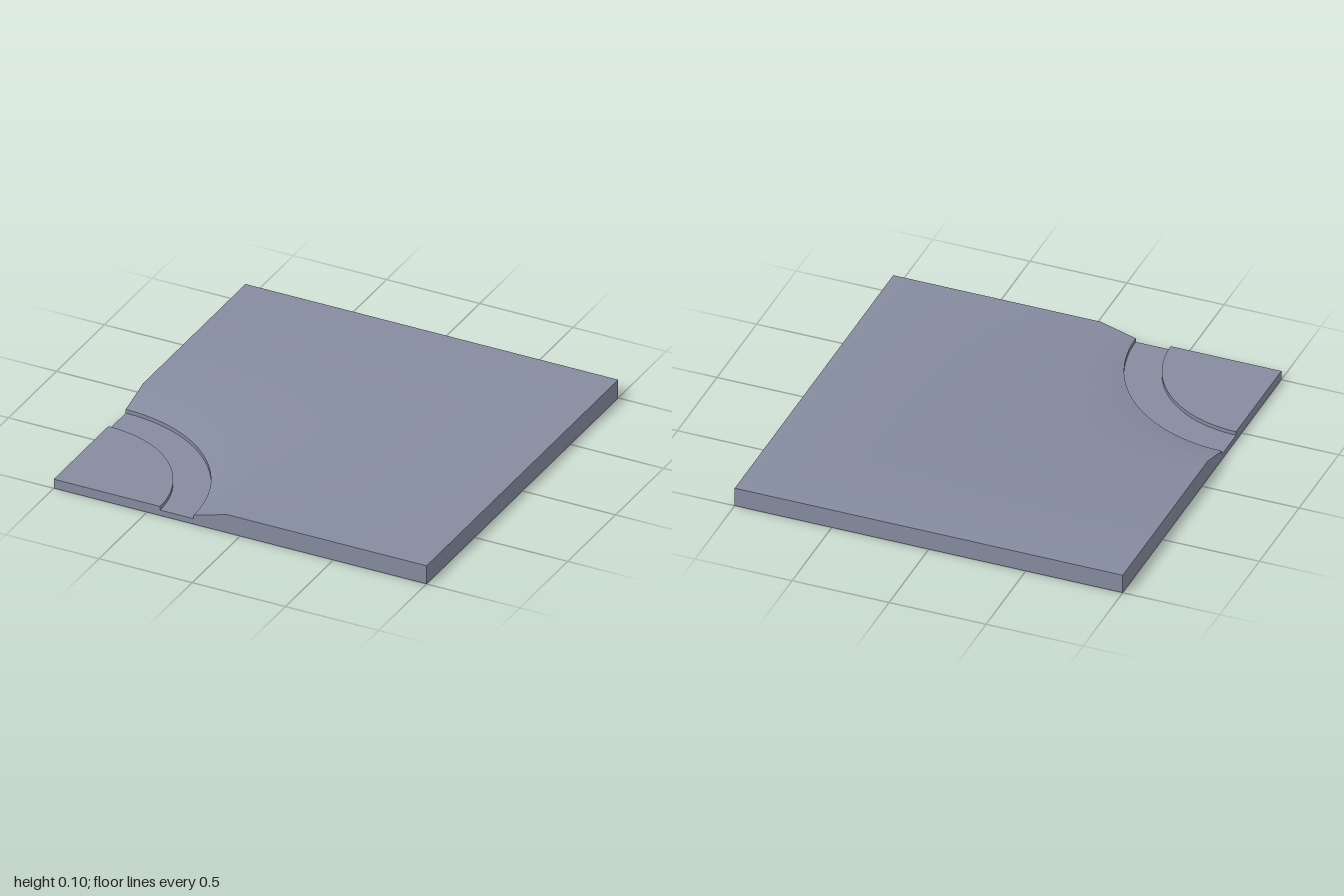
import * as THREE from 'three';

const STEPS = 64; // segments across the quarter turn
const H = 0.1, DISC_R = 0.57, GROOVE_R = 0.75, SLOPE_R = 0.93;
const DISC_Y = 0.05, GROOVE_Y = 0.03;

// Quarter-turn strip around the corner (-1, +1). Each end is [radius, height, normalOut, normalUp];
// a radius of null runs out to the edge of the square.
function quarterStrip(inner, outer) {
  const pos = [], nor = [], idx = [];
  for (let i = 0; i <= STEPS; i++) {
    const a = (i / STEPS) * Math.PI / 2, c = Math.cos(a), s = Math.sin(a);
    for (const [radius, y, out, up] of [inner, outer]) {
      const r = radius ?? 2 / Math.max(c, s);
      pos.push(-1 + r * c, y, 1 - r * s);
      nor.push(out * c, up, -out * s);
    }
    if (i < STEPS) {
      const k = i * 2;
      idx.push(k, k + 1, k + 3, k, k + 3, k + 2);
    }
  }
  const g = new THREE.BufferGeometry();
  g.setAttribute('position', new THREE.Float32BufferAttribute(pos, 3));
  g.setAttribute('normal', new THREE.Float32BufferAttribute(nor, 3));
  g.setIndex(idx);
  return g;
}

// Cut face of the slab, running away from the recessed corner
function sectionFace(dir) {
  const pts = [[0, 0], [2, 0], [2, H], [SLOPE_R, H], [GROOVE_R, DISC_Y], [GROOVE_R, GROOVE_Y],
    [DISC_R, GROOVE_Y], [DISC_R, DISC_Y], [0, DISC_Y]];
  return new THREE.ShapeGeometry(new THREE.Shape(pts.map(([u, y]) => new THREE.Vector2(u * dir, y))));
}

export function createModel() {
  const group = new THREE.Group();
  const slate = new THREE.MeshStandardMaterial({ color: 0x858b9f });
  slate.name = 'slate grey';
  const add = (name, geometry) => {
    const mesh = new THREE.Mesh(geometry, slate);
    mesh.name = name;
    group.add(mesh);
    return mesh;
  };

  // Recessed corner: raised quarter disc and the groove around it
  add('cornerDisc', quarterStrip([0, DISC_Y, 0, 1], [DISC_R, DISC_Y, 0, 1]));
  add('discRim', quarterStrip([DISC_R, DISC_Y, 1, 0], [DISC_R, GROOVE_Y, 1, 0]));
  add('grooveFloor', quarterStrip([DISC_R, GROOVE_Y, 0, 1], [GROOVE_R, GROOVE_Y, 0, 1]));
  add('grooveWall', quarterStrip([GROOVE_R, GROOVE_Y, -1, 0], [GROOVE_R, DISC_Y, -1, 0]));

  // Slope blending softly into the flat top
  const tilt = Math.atan2(H - DISC_Y, SLOPE_R - GROOVE_R);
  const lean = (t) => [-Math.sin(t), Math.cos(t)];
  add('slope', quarterStrip([GROOVE_R, DISC_Y, ...lean(tilt)], [SLOPE_R, H, ...lean(tilt / 2)]));
  add('slabTop', quarterStrip([SLOPE_R, H, ...lean(tilt / 2)], [null, H, 0, 1]));

  // Stepped sides next to the recessed corner
  add('frontSide', sectionFace(1)).position.set(-1, 0, 1);
  const left = add('steppedSide', sectionFace(-1));
  left.position.set(-1, 0, 1);
  left.rotation.y = -Math.PI / 2;

  // Plain sides and underside
  const back = add('backSide', new THREE.PlaneGeometry(2, H));
  back.position.set(0, H / 2, -1);
  back.rotation.y = Math.PI;
  const plain = add('plainSide', new THREE.PlaneGeometry(2, H));
  plain.position.set(1, H / 2, 0);
  plain.rotation.y = Math.PI / 2;
  add('underside', new THREE.PlaneGeometry(2, 2)).rotation.x = Math.PI / 2;

  return group;
}
